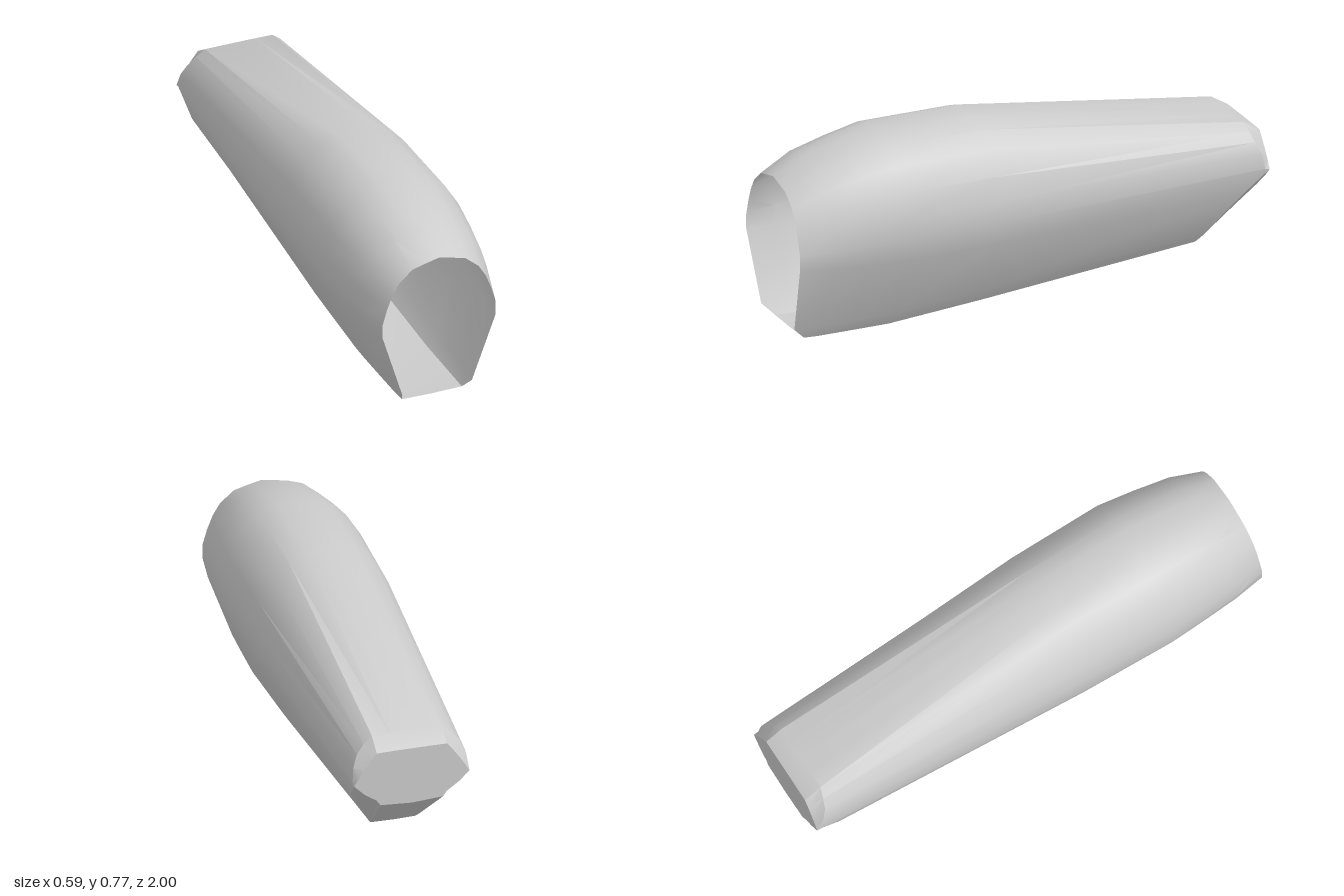
import * as THREE from 'three';
import { toCreasedNormals } from 'three/addons/utils/BufferGeometryUtils.js';

// Half cross-sections (+x side), from top centre down to bottom centre: [x, y, z]
const rim = [
  [0, 0.645, 1], [0.055, 0.632, 1], [0.11, 0.617, 1], [0.165, 0.57, 1], [0.195, 0.52, 1],
  [0.218, 0.46, 1], [0.235, 0.4, 1], [0.235, 0.34, 1], [0.145, 0.06, 0.98], [0.125, 0.01, 0.93], [0, 0.008, 0.93],
];
const widest = [
  [0, 0.77], [0.07, 0.77], [0.14, 0.742], [0.21, 0.685], [0.267, 0.592],
  [0.29, 0.5], [0.296, 0.41], [0.27, 0.315], [0.165, 0.06], [0.128, 0.004], [0, 0],
].map(([x, y]) => [x, y, 0.57]);
const heel = [
  [0, 0.57, -0.93], [0.07, 0.57, -0.93], [0.14, 0.57, -0.93], [0.175, 0.54, -0.94], [0.205, 0.505, -0.95],
  [0.225, 0.46, -0.97], [0.231, 0.4, -0.98], [0.212, 0.3, -0.89], [0.105, 0.11, -0.77], [0.09, 0.087, -0.75], [0, 0.085, -0.75],
];
const end = [
  [0, 0.527], [0.07, 0.527], [0.14, 0.526], [0.165, 0.495], [0.19, 0.46],
  [0.213, 0.425], [0.23, 0.395], [0.19, 0.355], [0.14, 0.32], [0.125, 0.298], [0, 0.29],
].map(([x, y]) => [x, y, -1]);

// Section between the rim and the widest ring, placed at a given z
const between = (t, z) => rim.map((p, i) => [
  THREE.MathUtils.lerp(p[0], widest[i][0], t),
  THREE.MathUtils.lerp(p[1], widest[i][1], t),
  z,
]);
const middle = widest.map(([x, y], i) => [x * 0.975, i < 8 ? y - 0.003 : y + 0.025, 0.18]);

// Mirror a half section into a closed ring
const ring = (half) => [
  ...half,
  ...half.slice(1, -1).reverse().map(([x, y, z]) => [-x, y, z]),
];

function creasedMesh(name, triangles, material) {
  const geometry = new THREE.BufferGeometry();
  geometry.setAttribute('position', new THREE.Float32BufferAttribute(triangles.flat(), 3));
  const mesh = new THREE.Mesh(toCreasedNormals(geometry, 0.45), material);
  mesh.name = name;
  return mesh;
}

export function createModel() {
  const group = new THREE.Group();
  group.name = 'hollowShell';
  const material = new THREE.MeshStandardMaterial({ color: 0xcccccc, side: THREE.DoubleSide });
  const rings = [rim, between(0.5, 0.87), between(0.78, 0.72), widest, middle, heel, end].map(ring);
  const count = rings[0].length;

  // Thin shell, open at the front
  const skin = [];
  for (let s = 0; s < rings.length - 1; s++) {
    for (let i = 0; i < count; i++) {
      const j = (i + 1) % count;
      const a = rings[s][i], b = rings[s][j], c = rings[s + 1][i], d = rings[s + 1][j];
      skin.push(a, b, c, b, d, c);
    }
  }
  group.add(creasedMesh('shell', skin, material));

  // Flat wall closing the back
  const last = rings[rings.length - 1];
  const wall = [];
  for (let i = 0; i < count; i++) wall.push([0, 0.4, -1], last[i], last[(i + 1) % count]);
  group.add(creasedMesh('backWall', wall, material));

  return group;
}
